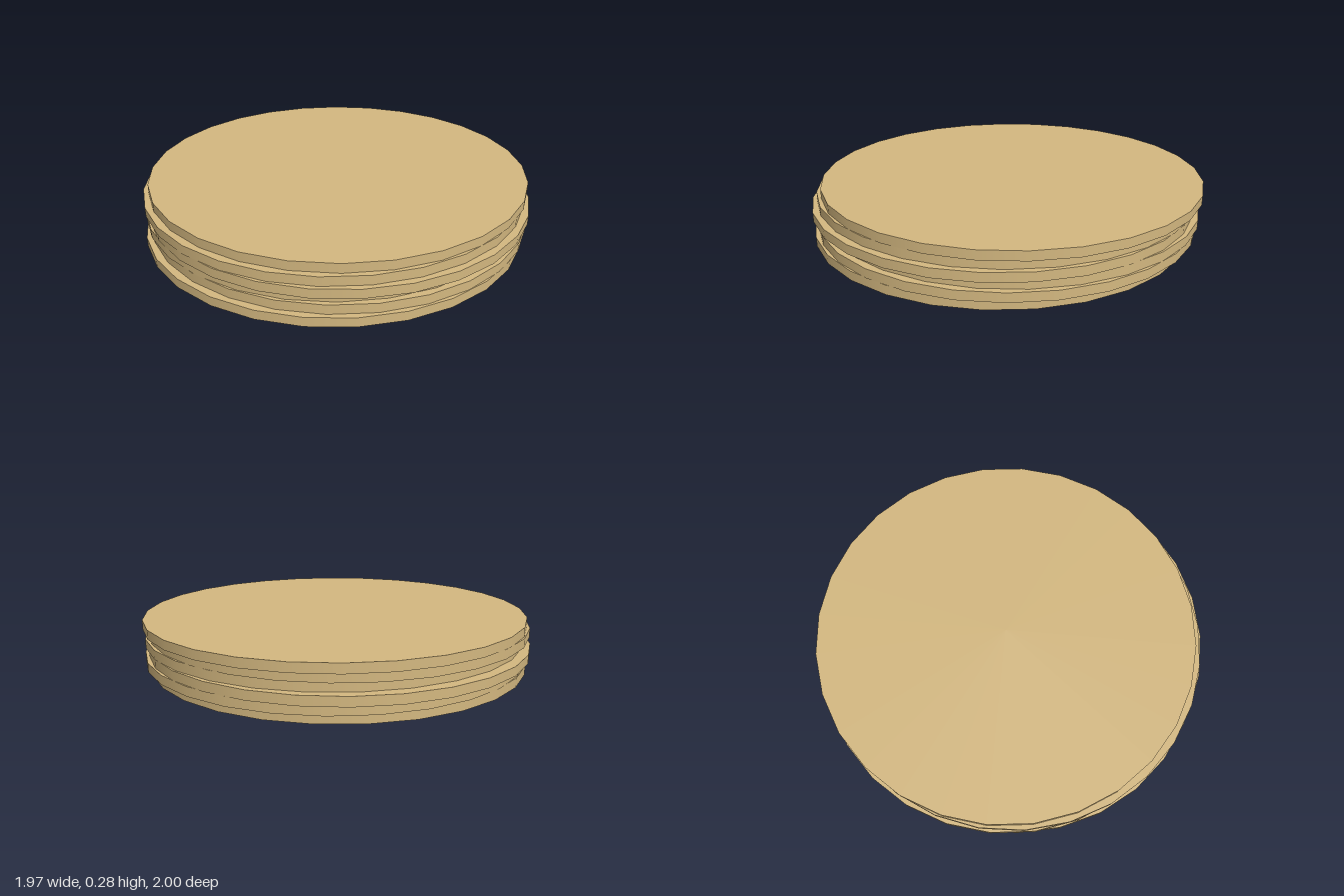
import * as THREE from 'three';

const LAYERS = 6;
const RADIUS = 0.975;
const THICKNESS = 0.275 / LAYERS;
const TWIST = THREE.MathUtils.degToRad(17);

export function createModel() {
  const group = new THREE.Group();
  group.name = 'discStack';
  const material = new THREE.MeshStandardMaterial({ color: 0xd4b880 });
  const geometry = new THREE.CylinderGeometry(RADIUS, RADIUS, THICKNESS, 28);

  // Loosely piled discs: alternating sideways shift, three-step depth shift, growing twist
  for (let i = 0; i < LAYERS; i++) {
    const disc = new THREE.Mesh(geometry, material);
    disc.name = `disc${i + 1}`;
    disc.position.set(
      i % 2 ? 0.011 : -0.014,
      (i + 0.5) * THICKNESS,
      0.025 * (1 - (i % 3))
    );
    disc.rotation.y = i * TWIST;
    group.add(disc);
  }
  return group;
}
